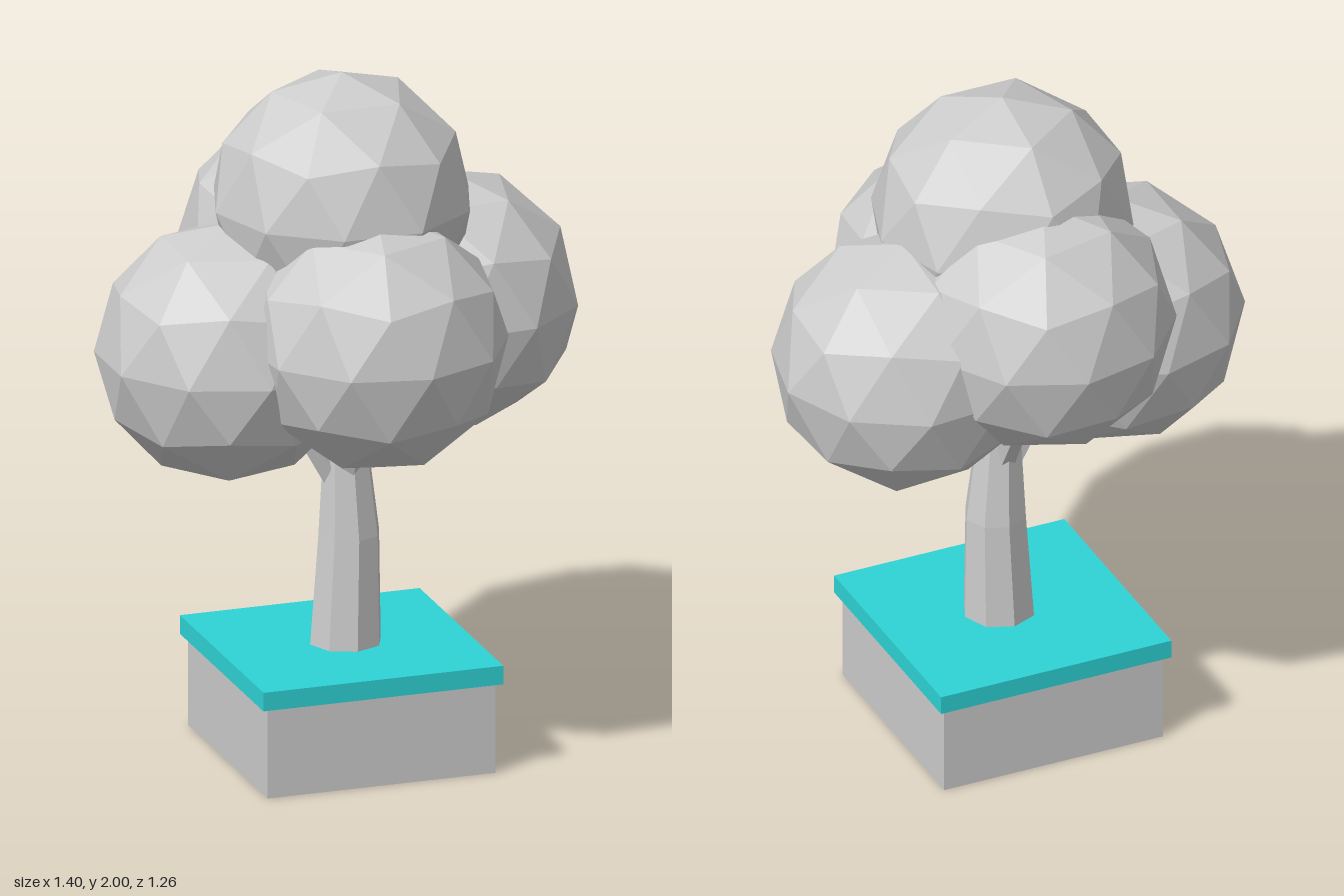
import * as THREE from 'three';

const rad = THREE.MathUtils.degToRad;

export function createModel() {
  const group = new THREE.Group();
  const grey = new THREE.MeshStandardMaterial({ color: 0xcccccc, flatShading: true });
  grey.name = 'light grey';
  const teal = new THREE.MeshStandardMaterial({ color: 0x2ed3d6, flatShading: true });
  teal.name = 'turquoise';

  const add = (name, geometry, material, x, y, z) => {
    const mesh = new THREE.Mesh(geometry, material);
    mesh.name = name;
    mesh.position.set(x, y, z);
    group.add(mesh);
    return mesh;
  };

  // Planter block with an overhanging slab on top
  add('planter', new THREE.BoxGeometry(0.675, 0.265, 0.675), grey, -0.01, 0.1325, -0.003);
  add('planterSlab', new THREE.BoxGeometry(0.71, 0.055, 0.71), teal, -0.01, 0.2925, -0.003);

  // Eight-sided trunk, tapering upward with a slight lean at mid height
  const trunkGeo = new THREE.CylinderGeometry(1, 1, 1, 8, 3);
  const rings = [[0.31, 0.105, 0], [0.64, 0.09, 0.01], [0.92, 0.064, 0], [1.15, 0.05, 0]];
  const p = trunkGeo.attributes.position;
  for (let i = 0; i < p.count; i++) {
    const [y, r, shift] = rings[Math.round((p.getY(i) + 0.5) * 3)];
    p.setXYZ(i, p.getX(i) * r + shift, y, p.getZ(i) * r);
  }
  trunkGeo.computeVertexNormals();
  add('trunk', trunkGeo, grey, 0, 0, 0);

  // Four short branches reaching up into the canopy
  const up = new THREE.Vector3(0, 1, 0);
  for (const [dx, dz, y] of [[1, 0, 0.84], [-1, 0, 0.81], [0, 1, 0.84], [0, -1, 0.84]]) {
    const from = new THREE.Vector3(dx * 0.035, y, dz * 0.035);
    const to = new THREE.Vector3(dx * 0.2, y + 0.28, dz * 0.2);
    const dir = to.clone().sub(from);
    const mid = from.clone().add(to).multiplyScalar(0.5);
    const branch = add('branch', new THREE.CylinderGeometry(0.028, 0.036, dir.length(), 5), grey, mid.x, mid.y, mid.z);
    branch.quaternion.setFromUnitVectors(up, dir.normalize());
  }

  // Five faceted leaf clumps, each with its pole upright and turned about y
  const clumps = [
    ['topFoliage', -0.01, 1.627, 0, 54],
    ['frontFoliage', 0, 1.29, 0.26, 30],
    ['backFoliage', -0.015, 1.42, -0.26, 5],
    ['leftFoliage', 0.328, 1.275, -0.075, -23],
    ['rightFoliage', -0.347, 1.215, -0.005, 0],
  ];
  for (const [name, x, y, z, turn] of clumps) {
    const geo = new THREE.IcosahedronGeometry(0.374, 1);
    geo.rotateZ(Math.atan(2 / (1 + Math.sqrt(5))));
    geo.rotateY(rad(180 - turn));
    add(name, geo, grey, x, y, z);
  }
  return group;
}
